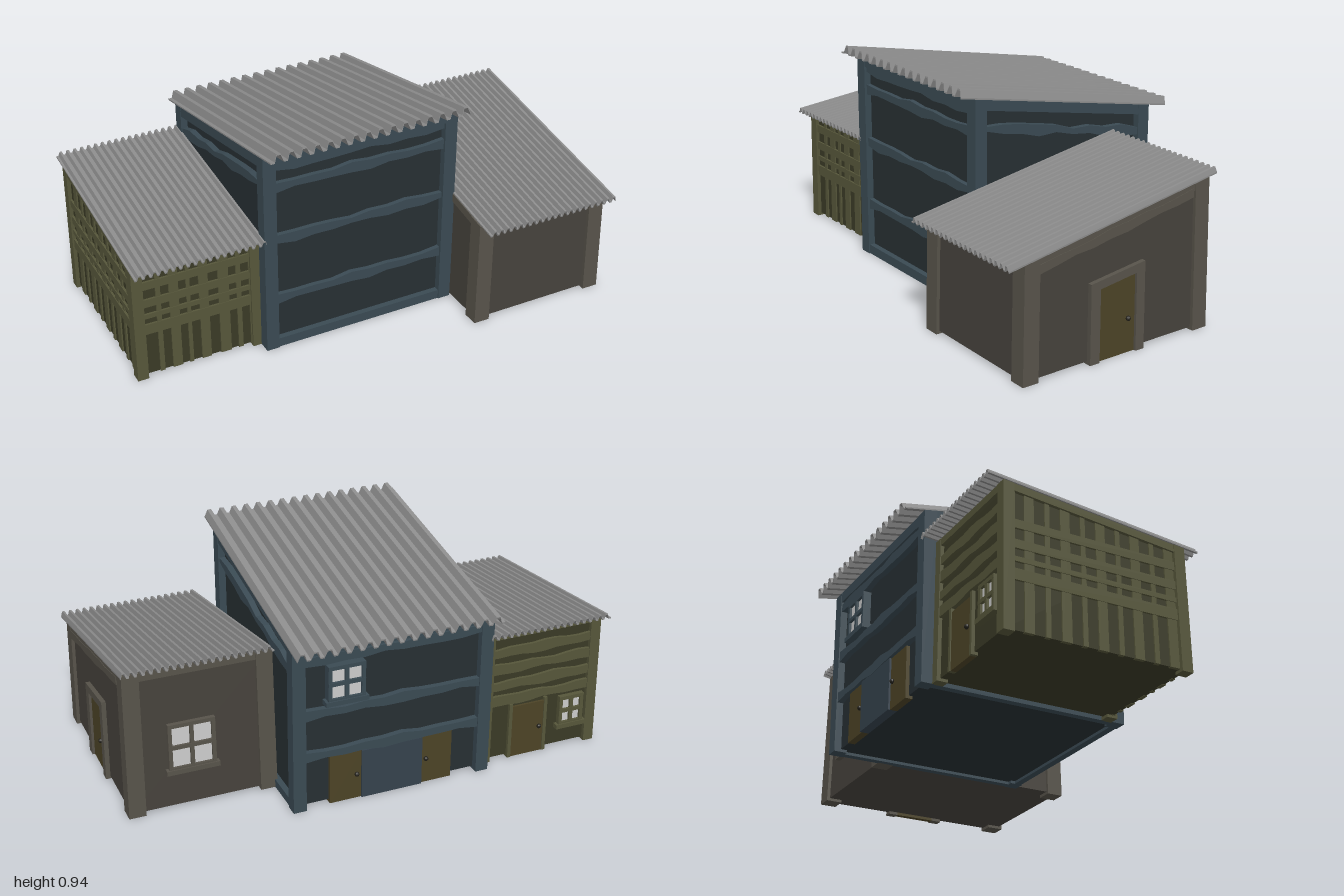
import * as THREE from 'three';

const mat = (color) => new THREE.MeshStandardMaterial({ color, flatShading: true, side: THREE.DoubleSide });
const M = {
  roof: mat(0x8c8c8c), glass: mat(0xcccccc), door: mat(0x4c4326), knob: mat(0x24221c), shutter: mat(0x35424d),
  brown: mat(0x46423c), brownTrim: mat(0x57534a),
  blue: mat(0x272f33), blueTrim: mat(0x3a4a53),
  green: mat(0x3a3a26), greenTrim: mat(0x56563a),
};

// A shed group with helpers; line(z) is the height of the roof underside.
function makeShed(name, b, line, taper) {
  const group = new THREE.Group();
  group.name = name;
  const cx = (b.x0 + b.x1) / 2, cz = (b.z0 + b.z1) / 2;
  const val = (f, z) => (typeof f === 'function' ? f(z) : f);

  // Box whose bottom and top follow heights in z; wave > 0 gives rough plank edges
  const block = (n, m, x0, x1, z0, z1, lo, hi, wave = 0) => {
    const alongX = x1 - x0 > z1 - z0;
    const seg = wave ? 9 : 1;
    const g = new THREE.BoxGeometry(1, 1, 1, alongX ? seg : 1, 1, alongX ? 1 : seg);
    const p = g.attributes.position;
    for (let i = 0; i < p.count; i++) {
      const x = x0 + (p.getX(i) + 0.5) * (x1 - x0);
      const z = z0 + (p.getZ(i) + 0.5) * (z1 - z0);
      const up = p.getY(i) > 0;
      const a = alongX ? x : z;
      const rough = wave * Math.sin(a * 23 + val(hi, 0) * 37 + (up ? 0 : 2)) * Math.cos(a * 9 + (up ? 1 : 0));
      const y = val(up ? hi : lo, z) + rough;
      const k = 1 - taper * y;
      p.setXYZ(i, cx + (x - cx) * k, y, cz + (z - cz) * k);
    }
    g.computeVertexNormals();
    const mesh = new THREE.Mesh(g, m);
    mesh.name = n;
    group.add(mesh);
    return mesh;
  };

  const knob = (x, y, z) => {
    const mesh = new THREE.Mesh(new THREE.SphereGeometry(0.01, 10, 8), M.knob);
    mesh.name = 'doorKnob';
    mesh.position.set(x, y, z);
    group.add(mesh);
  };

  // Four-pane window on the back wall
  const backWindow = (m, x0, x1, y0, y1, z) => {
    const t = 0.016, mx = (x0 + x1) / 2, my = (y0 + y1) / 2;
    block('windowGlass', M.glass, x0, x1, z - 0.004, z + 0.03, y0, y1);
    for (const x of [x0, mx, x1]) block('windowUpright', m, x - t / 2, x + t / 2, z - 0.014, z + 0.03, y0, y1);
    for (const y of [y0, my, y1]) block('windowRail', m, x0 - t / 2, x1 + t / 2, z - 0.015, z + 0.03, y - t / 2, y + t / 2);
    block('windowSill', m, x0 - 0.02, x1 + 0.02, z - 0.02, z + 0.03, y0 - 0.02, y0);
  };

  // Recessed core with four corner posts
  const frame = (wall, trim, inset, post) => {
    block('walls', wall, b.x0 + inset, b.x1 - inset, b.z0 + inset, b.z1 - inset, 0.012, line);
    for (const x of [b.x0, b.x1 - post])
      for (const z of [b.z0, b.z1 - post]) block('cornerPost', trim, x, x + post, z, z + post, 0, line);
  };

  // Beams under the roof on all four sides
  const topBeams = (trim, d, h) => {
    for (const x of [b.x0, b.x1 - d])
      block('sideTopBeam', trim, x + 0.002, x + d - 0.002, b.z0 + d, b.z1 - d, (z) => line(z) - h, line);
    for (const z of [b.z0, b.z1 - d])
      block('endTopBeam', trim, b.x0 + d, b.x1 - d, z + 0.002, z + d - 0.002, (q) => line(q) - h, line);
  };
  return { group, block, knob, backWindow, frame, topBeams };
}

// Thin corrugated sheet between two (z, y) edge points
function corrugatedRoof(x0, x1, front, back, n, h) {
  const pitch = (x1 - x0) / n, t = 0.006, pts = [];
  for (let i = 0; i < n; i++)
    for (const [u, v] of [[0, 0], [0.3, 0], [0.5, 1], [0.8, 1]]) pts.push([x0 + (i + u) * pitch, v * (h - t)]);
  pts.push([x1, 0]);
  const outline = [...pts, ...pts.map(([x, y]) => [x, y + t]).reverse()];
  const shape = new THREE.Shape(outline.map(([x, y]) => new THREE.Vector2(x, y)));
  const dz = front[0] - back[0], dy = front[1] - back[1];
  const g = new THREE.ExtrudeGeometry(shape, { depth: Math.hypot(dz, dy), bevelEnabled: false });
  g.rotateX(-Math.atan2(dy, dz));
  g.translate(0, back[1], back[0]);
  const mesh = new THREE.Mesh(g, M.roof);
  mesh.name = 'corrugatedRoof';
  return mesh;
}

const slope = (f, k) => (z) => k[1] + ((z - k[0]) * (f[1] - k[1])) / (f[0] - k[0]);

function brownShed() {
  const f = [0.625, 0.455], k = [-0.35, 0.625], line = slope(f, k);
  const b = { x0: 0.38, x1: 1.0, z0: -0.33, z1: 0.56 };
  const s = makeShed('brownShed', b, line, 0.04);
  s.frame(M.brown, M.brownTrim, 0.014, 0.07);
  s.topBeams(M.brownTrim, 0.05, 0.035);
  // Side plank, door and door frame
  s.block('sidePlank', M.brownTrim, 0.975, 1.0, -0.25, 0.49, (z) => line(z) - 0.06, (z) => line(z) - 0.025, 0.006);
  const lintel = (z) => 0.354 - 0.13 * z;
  s.block('doorFrame', M.brownTrim, 0.97, 1.005, 0.21, 0.255, 0, lintel);
  s.block('doorFrame', M.brownTrim, 0.97, 1.005, -0.005, 0.035, 0, lintel);
  s.block('doorLintel', M.brownTrim, 0.97, 1.005, 0.035, 0.21, (z) => lintel(z) - 0.034, lintel);
  s.block('door', M.door, 0.97, 0.994, 0.035, 0.21, 0, (z) => lintel(z) - 0.034);
  s.knob(0.998, 0.14, 0.07);
  s.backWindow(M.brownTrim, 0.64, 0.82, 0.18, 0.37, b.z0 + 0.01);
  s.group.add(corrugatedRoof(0.39, 1.0, f, k, 20, 0.026));
  return s.group;
}

function blueShed() {
  const f = [0.41, 0.903], k = [-0.625, 0.704], line = slope(f, k);
  const b = { x0: -0.465, x1: 0.395, z0: -0.545, z1: 0.335 };
  const s = makeShed('blueShed', b, line, 0);
  s.frame(M.blue, M.blueTrim, 0.03, 0.055);
  s.topBeams(M.blueTrim, 0.03, 0.045);
  // Rough planks across the front and back
  for (const y of [0.232, 0.507, 0.745, 0.832])
    s.block('frontPlank', M.blueTrim, -0.41, 0.34, 0.295, 0.325, y - 0.018, y + 0.018, 0.009);
  for (const y of [0.235, 0.42, 0.65])
    s.block('backPlank', M.blueTrim, -0.41, 0.34, -0.54, -0.5, y - 0.018, y + 0.018, 0.008);
  s.block('frontSill', M.blueTrim, -0.41, 0.34, 0.3, 0.33, 0, 0.04);
  // Sloping planks and sills on both sides
  for (const x of [-0.46, 0.36]) {
    s.block('sidePlank', M.blueTrim, x, x + 0.03, -0.49, 0.28, (z) => line(z) - 0.135, (z) => line(z) - 0.1, 0.012);
    s.block('sideSill', M.blueTrim, x, x + 0.03, -0.49, 0.28, 0, 0.035);
  }
  // Back doors, shutter between them and window
  for (const x of [-0.3, 0.1]) {
    s.block('door', M.door, x, x + 0.135, -0.53, -0.5, 0, 0.215);
    s.knob(x + (x < 0 ? 0.115 : 0.02), 0.11, -0.534);
  }
  s.block('shutter', M.shutter, -0.165, 0.1, -0.538, -0.5, 0, 0.215);
  s.backWindow(M.blueTrim, 0.1, 0.24, 0.47, 0.61, -0.535);
  s.group.add(corrugatedRoof(b.x0, 0.405, f, k, 16, 0.036));
  return s.group;
}

function greenShed() {
  const f = [0.335, 0.503], k = [-0.555, 0.594], line = slope(f, k);
  const b = { x0: -1.0, x1: -0.455, z0: -0.5, z1: 0.28 };
  const s = makeShed('greenShed', b, line, 0.025);
  s.frame(M.green, M.greenTrim, 0.016, 0.046);
  s.topBeams(M.greenTrim, 0.03, 0.03);
  // Lattice of slats on the front
  for (const [x, w] of [[-0.89, 0.02], [-0.825, 0.04], [-0.765, 0.016], [-0.7, 0.04], [-0.615, 0.045], [-0.55, 0.02], [-0.49, 0.03]])
    s.block('frontSlat', M.greenTrim, x - w / 2, x + w / 2, 0.255, 0.27, 0.01, line);
  const rails = [[0.225, 0.045], [0.285, 0.02], [0.345, 0.035], [0.425, 0.035]];
  for (const [y, w] of rails)
    s.block('frontRail', M.greenTrim, -0.955, -0.465, 0.255, 0.273, y - w / 2, y + w / 2);
  // Lattice of slats on the outer side
  for (let i = 0; i < 9; i++) {
    const z = -0.39 + i * 0.075, w = i % 2 ? 0.02 : 0.04;
    s.block('sideSlat', M.greenTrim, -0.99, -0.975, z - w / 2, z + w / 2, 0.01, line);
  }
  for (const [y, w] of rails)
    s.block('sideRail', M.greenTrim, -0.993, -0.975, -0.455, 0.235, y - w / 2, y + w / 2);
  // Rough planks, door and window on the back
  for (const y of [0.275, 0.345, 0.42, 0.495])
    s.block('backPlank', M.greenTrim, -0.955, -0.465, -0.497, -0.47, y - 0.02, y + 0.02, 0.007);
  s.block('door', M.door, -0.75, -0.6, -0.494, -0.47, 0, 0.235);
  for (const x of [-0.765, -0.6])
    s.block('doorFrame', M.greenTrim, x, x + 0.015, -0.498, -0.47, 0, 0.25);
  s.knob(-0.73, 0.12, -0.498);
  s.backWindow(M.greenTrim, -0.93, -0.83, 0.11, 0.23, -0.49);
  s.group.add(corrugatedRoof(b.x0, -0.455, f, k, 18, 0.024));
  return s.group;
}

export function createModel() {
  const model = new THREE.Group();
  model.name = 'sheds';
  model.add(brownShed(), blueShed(), greenShed());
  return model;
}
